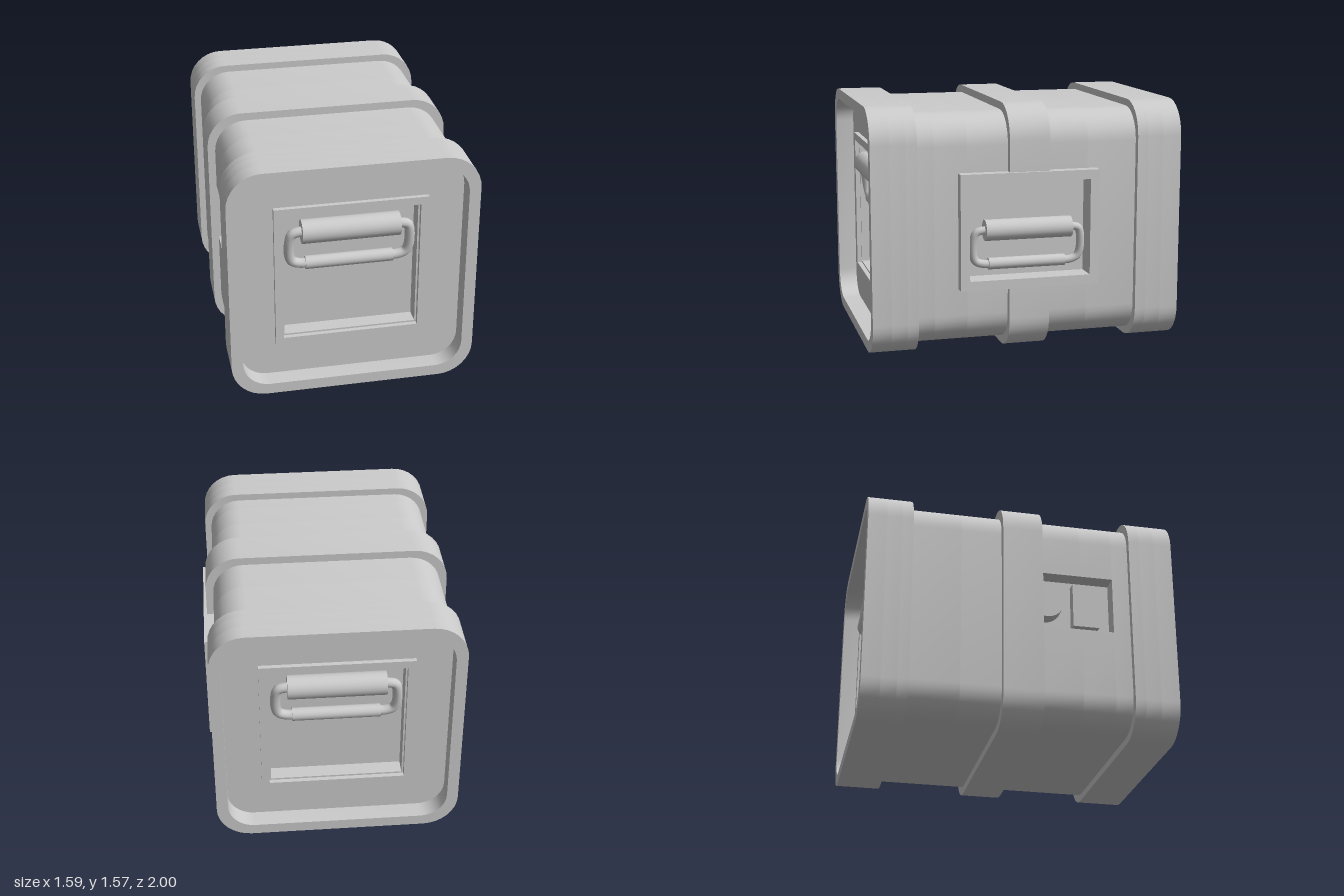
import * as THREE from 'three';
import { toCreasedNormals } from 'three/addons/utils/BufferGeometryUtils.js';

const mat = new THREE.MeshStandardMaterial({ color: 0xcccccc });

function add(parent, name, geo, x = 0, y = 0, z = 0) {
  const mesh = new THREE.Mesh(geo, mat);
  mesh.name = name;
  mesh.position.set(x, y, z);
  parent.add(mesh);
  return mesh;
}

// Rounded square outline; a notch { y0, y1, x } sinks a recess into the +x or -x side
function outline(w, h, r, right, left) {
  const s = new THREE.Shape();
  s.moveTo(w, -h + r);
  if (right) {
    s.lineTo(w, right.y0).lineTo(right.x, right.y0).lineTo(right.x, right.y1).lineTo(w, right.y1);
  }
  s.lineTo(w, h - r);
  s.absarc(w - r, h - r, r, 0, Math.PI / 2);
  s.absarc(-w + r, h - r, r, Math.PI / 2, Math.PI);
  if (left) {
    s.lineTo(-w, left.y1).lineTo(left.x, left.y1).lineTo(left.x, left.y0).lineTo(-w, left.y0);
  }
  s.absarc(-w + r, -h + r, r, Math.PI, Math.PI * 1.5);
  s.absarc(w - r, -h + r, r, Math.PI * 1.5, Math.PI * 2);
  return s;
}

function rect(w, h, y = 0) {
  return new THREE.Shape([[-w, y - h], [w, y - h], [w, y + h], [-w, y + h]]
    .map(p => new THREE.Vector2(...p)));
}

// Extrude between two z positions, optionally with a hole
function slab(shape, z0, z1, hole) {
  if (hole) shape.holes.push(hole);
  const g = new THREE.ExtrudeGeometry(shape, { depth: z1 - z0, bevelEnabled: false, curveSegments: 4 });
  g.translate(0, 0, z0);
  return toCreasedNormals(g, 0.6);
}

// Grip roller, two bent side bars and a lower roller
function makeHandle(name, { half, r, lowHalf, lowR, side, drop, lean, bar }) {
  const g = new THREE.Group();
  g.name = name;
  const roller = (n, radius, length, y, z) =>
    add(g, n, new THREE.CylinderGeometry(radius, radius, length, 24), 0, y, z).rotation.z = Math.PI / 2;
  roller('upperRoller', r, half * 2, 0, 0);
  roller('lowerRoller', lowR, lowHalf * 2, -drop, -lean);
  for (const s of [-1, 1]) {
    const path = new THREE.CatmullRomCurve3([
      [half - 0.03, 0], [side - 0.06, 0], [side - 0.015, 0.06], [side, 0.25],
      [side, 0.75], [side - 0.02, 0.92], [side - 0.07, 1], [lowHalf - 0.03, 1],
    ].map(([x, t]) => new THREE.Vector3(s * x, -drop * t, -lean * t)));
    add(g, 'sideBar', new THREE.TubeGeometry(path, 32, bar, 12));
  }
  return g;
}

export function createModel() {
  const model = new THREE.Group();
  model.name = 'crate';
  const crate = new THREE.Group();
  crate.name = 'crateParts';
  crate.position.set(-0.0125, 0.785, 0);
  model.add(crate);

  // Body in slices, so the side recesses are cut only where they lie
  const R = { y0: -0.305, y1: 0.31, x: 0.66 };
  const L = { y0: -0.095, y1: 0.285, x: -0.63 };
  const slices = [
    [-0.71, -0.39], [-0.39, 0.13, R], [0.13, 0.39, R, L], [0.39, 0.6, null, L], [0.6, 0.71],
  ];
  for (const [z0, z1, right, left] of slices) {
    add(crate, 'body', slab(outline(0.737, 0.735, 0.2, right, left), z0, z1));
  }
  add(crate, 'middleBand', slab(outline(0.785, 0.785, 0.22, R), -0.13, 0.13));

  // Both ends: rim, recessed panel, raised frame and handle
  for (const [name, turn] of [['frontEnd', 0], ['backEnd', Math.PI]]) {
    const end = new THREE.Group();
    end.name = name;
    end.rotation.y = turn;
    crate.add(end);
    const outer = () => outline(0.78, 0.78, 0.22);
    add(end, 'endBase', slab(outer(), 0.71, 0.78));
    add(end, 'endPanel', slab(outer(), 0.78, 0.88, rect(0.422, 0.422)));
    add(end, 'endRim', slab(outer(), 0.88, 1, outline(0.708, 0.708, 0.17)));
    add(end, 'endFrame', slab(rect(0.483, 0.483), 0.88, 0.91, rect(0.433, 0.433)));
    const handle = makeHandle('endHandle', {
      half: 0.308, r: 0.076, lowHalf: 0.278, lowR: 0.042, side: 0.378, drop: 0.24, lean: 0.035, bar: 0.032,
    });
    handle.position.set(0, 0.295, 0.862);
    end.add(handle);
  }

  // Framed handle recess on the +x side
  const side = new THREE.Group();
  side.name = 'sideHandlePanel';
  side.rotation.y = Math.PI / 2;
  crate.add(side);
  add(side, 'sideFrame', slab(rect(0.448, 0.3675, 0.0025), 0.72, 0.8075, rect(0.39, 0.3075, 0.0025)));
  const sideHandle = makeHandle('sideHandle', {
    half: 0.28, r: 0.067, lowHalf: 0.25, lowR: 0.037, side: 0.348, drop: 0.222, lean: 0.03, bar: 0.026,
  });
  sideHandle.position.set(0, 0.002, 0.735);
  side.add(sideHandle);

  // Knob and plate in the smaller recess on the -x side
  add(crate, 'sideKnob', new THREE.CylinderGeometry(0.11, 0.11, 0.1, 24), -0.67, 0.095, 0.17)
    .rotation.z = Math.PI / 2;
  add(crate, 'sidePlate', new THREE.BoxGeometry(0.08, 0.3, 0.17), -0.66, 0.095, 0.43);
  return model;
}
